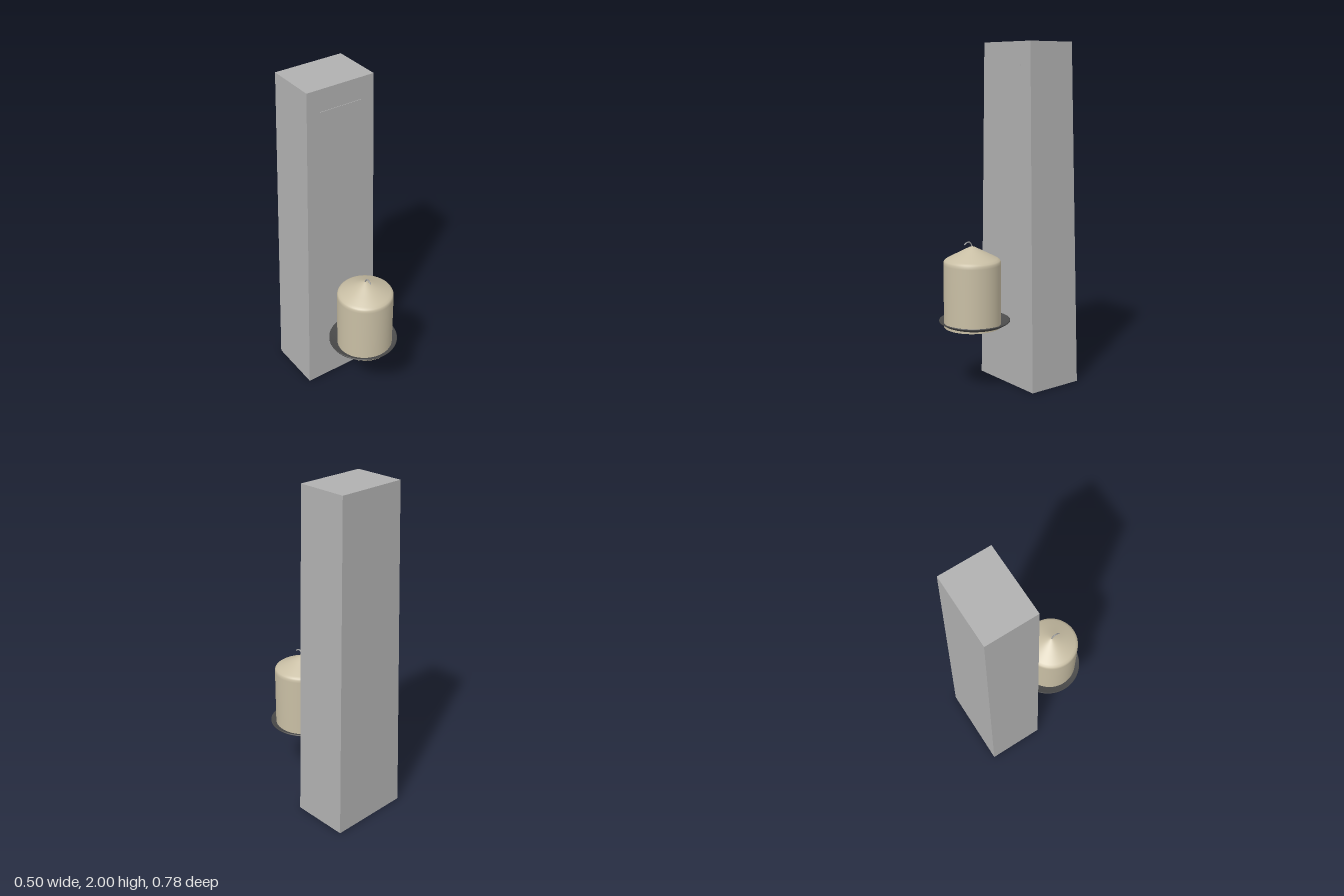
import * as THREE from 'three';

const flat = (name, color) => new THREE.MeshStandardMaterial({ name, color });

export function createModel() {
  const stone = flat('stone grey', 0xb0b0b0);
  const wax = flat('cream wax', 0xc8bea4);
  const iron = flat('dark iron', 0x4c4c4c);
  const cord = flat('wick grey', 0x9a9a9a);

  const group = new THREE.Group();
  const add = (name, geometry, material, x = 0, y = 0, z = 0) => {
    const mesh = new THREE.Mesh(geometry, material);
    mesh.name = name;
    mesh.position.set(x, y, z);
    group.add(mesh);
    return mesh;
  };
  const lathe = (points) =>
    new THREE.LatheGeometry(points.map(([r, y]) => new THREE.Vector2(r, y)), 64);

  // Tall block: sides and back lean inwards, front stays upright
  const block = new THREE.BoxGeometry(0.496, 2, 0.345);
  const pos = block.attributes.position;
  for (let i = 0; i < pos.count; i++) {
    if (pos.getY(i) < 0) continue;
    pos.setX(i, Math.sign(pos.getX(i)) * 0.21);
    if (pos.getZ(i) < 0) pos.setZ(i, pos.getZ(i) + 0.042);
  }
  const flatBlock = block.toNonIndexed();
  flatBlock.computeVertexNormals();
  add('block', flatBlock, stone, 0, 1, -0.2175);

  // Thin ledge across the upper front
  add('ledge', new THREE.BoxGeometry(0.26, 0.004, 0.006), stone, 0, 1.87, -0.045);

  // Bar sloping down from the block to the underside of the dish
  const arm = add('arm', new THREE.BoxGeometry(0.02, 0.014, 0.24), iron, 0, 0.381, 0.045);
  arm.rotation.x = 0.16;

  // Shallow dish, closed profile from underside to inside
  add('dish', lathe([
    [0, 0.372], [0.07, 0.375], [0.13, 0.386], [0.175, 0.402], [0.204, 0.42],
    [0.204, 0.426], [0.199, 0.426], [0.17, 0.41], [0.125, 0.395], [0.07, 0.384], [0, 0.381],
  ]), iron, -0.002, 0, 0.185);

  // Candle body with a rounded shoulder and conical top
  add('candle', lathe([
    [0, 0.39], [0.164, 0.39], [0.164, 0.39], [0.164, 0.41], [0.164, 0.755],
    [0.163, 0.769], [0.158, 0.778], [0.145, 0.787], [0.1, 0.81], [0.05, 0.836],
    [0.015, 0.854], [0, 0.858],
  ]), wax, -0.002, 0, 0.2);

  // Wick curling forwards
  const curve = new THREE.CatmullRomCurve3([
    [0.2, 0.85], [0.204, 0.868], [0.218, 0.882], [0.234, 0.882], [0.25, 0.872],
  ].map(([z, y]) => new THREE.Vector3(-0.004, y, z)));
  add('wick', new THREE.TubeGeometry(curve, 20, 0.004, 8), cord);
  add('wickTip', new THREE.SphereGeometry(0.004, 8, 6), cord, -0.004, 0.872, 0.25);

  return group;
}
